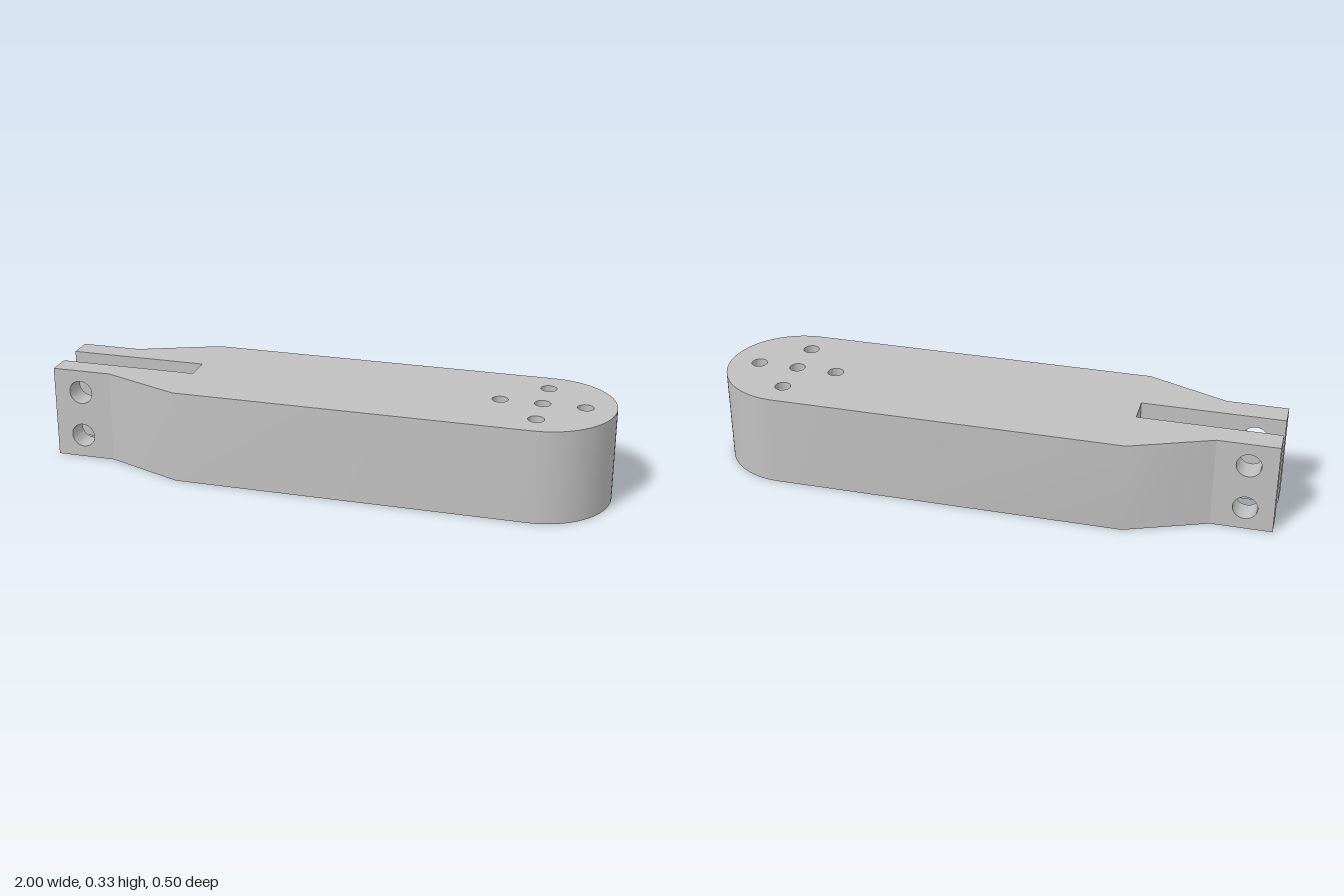
import * as THREE from 'three';
import { mergeGeometries, toCreasedNormals } from 'three/addons/utils/BufferGeometryUtils.js';

const H = 0.333;              // height of the arm
const R = 0.25, CX = 0.75;    // rounded end
const TINE = 0.137, SLOT = 0.05, NECK = -0.785, SHOULDER = -0.5;
const BORE_R = 0.093, BORE_DEPTH = 0.22, SCREW_R = 0.028, PIN_R = 0.043;
const v = (x, y) => new THREE.Vector2(x, y);

// clockwise circle, so that walls built from it face inwards
function circle(x, y, r, n = 32) {
  return Array.from({ length: n + 1 }, (_, i) => {
    const a = -2 * Math.PI * (i % n) / n;
    return v(x + r * Math.cos(a), y + r * Math.sin(a));
  });
}

// flat face at depth z, looking along +z or (flipped) along -z
function face(outline, holes, z, flipped = false) {
  const shape = new THREE.Shape(outline);
  shape.holes = holes.map((h) => new THREE.Path(h));
  const g = new THREE.ShapeGeometry(shape).translate(0, 0, z);
  if (flipped) g.setIndex(Array.from(g.index.array).reverse());
  const out = g.toNonIndexed();
  out.deleteAttribute('uv');
  out.computeVertexNormals();
  return out;
}

// wall swept along z from a polyline, facing right of its direction
function wall(points, z0, z1) {
  const p = [];
  for (let i = 0; i + 1 < points.length; i++) {
    const a = points[i], b = points[i + 1];
    p.push(a.x, a.y, z0, b.x, b.y, z0, b.x, b.y, z1);
    p.push(a.x, a.y, z0, b.x, b.y, z1, a.x, a.y, z1);
  }
  const g = new THREE.BufferGeometry();
  g.setAttribute('position', new THREE.Float32BufferAttribute(p, 3));
  g.computeVertexNormals();
  return g;
}

export function createModel() {
  const model = new THREE.Group();
  model.name = 'linkArm';
  const metal = new THREE.MeshStandardMaterial({ color: 0xc0c0c0 });
  metal.name = 'light grey';

  const add = (name, parts, upright = false) => {
    const g = mergeGeometries(parts);
    if (upright) g.rotateX(-Math.PI / 2);
    const mesh = new THREE.Mesh(toCreasedNormals(g, 0.5), metal);
    mesh.name = name;
    model.add(mesh);
  };

  // plan outline, counter-clockwise
  const arc = Array.from({ length: 41 }, (_, i) => {
    const a = -Math.PI / 2 + Math.PI * i / 40;
    return v(CX + R * Math.cos(a), R * Math.sin(a));
  });
  const side = [v(NECK, -TINE), v(SHOULDER, -R), ...arc, v(SHOULDER, R), v(NECK, TINE)];
  const slot = [v(NECK, SLOT), v(SHOULDER, SLOT), v(SHOULDER, -SLOT), v(NECK, -SLOT)];
  const tipA = [v(-1, TINE), v(-1, SLOT)];
  const tipB = [v(-1, -SLOT), v(-1, -TINE)];
  const plan = [...side, ...tipA, ...slot, ...tipB];

  // screw holes around the central one
  const hx = 0.747, pitch = 0.146;
  const screws = [[1, 0], [-1, 0], [0, 1], [0, -1]]
    .map(([x, y]) => circle(hx + x * pitch, y * pitch, SCREW_R));
  const centre = circle(hx, 0, SCREW_R);
  const bore = circle(hx, 0, BORE_R, 48);

  add('armBody', [
    face(plan, [...screws, centre], H),
    face(plan, [...screws, bore], 0, true),
    wall(side, 0, H), wall(slot, 0, H), wall(tipA, 0, H), wall(tipB, 0, H),
  ], true);
  add('screwHoles', screws.map((s) => wall(s, 0, H)), true);
  add('centralBore', [
    wall(bore, 0, BORE_DEPTH),
    face(bore, [centre], BORE_DEPTH, true),
    wall(centre, BORE_DEPTH, H),
  ], true);

  // fork cheeks with two pin holes each
  const cheek = [v(-1, 0), v(NECK, 0), v(NECK, H), v(-1, H)];
  const pins = [0.083, 0.25].map((y) => circle(-0.9, y, PIN_R));
  for (const [name, z0, z1] of [['frontForkCheek', SLOT, TINE], ['backForkCheek', -TINE, -SLOT]]) {
    add(name, [
      face(cheek, pins, z1),
      face(cheek, pins, z0, true),
      ...pins.map((p) => wall(p, z0, z1)),
    ]);
  }
  return model;
}
